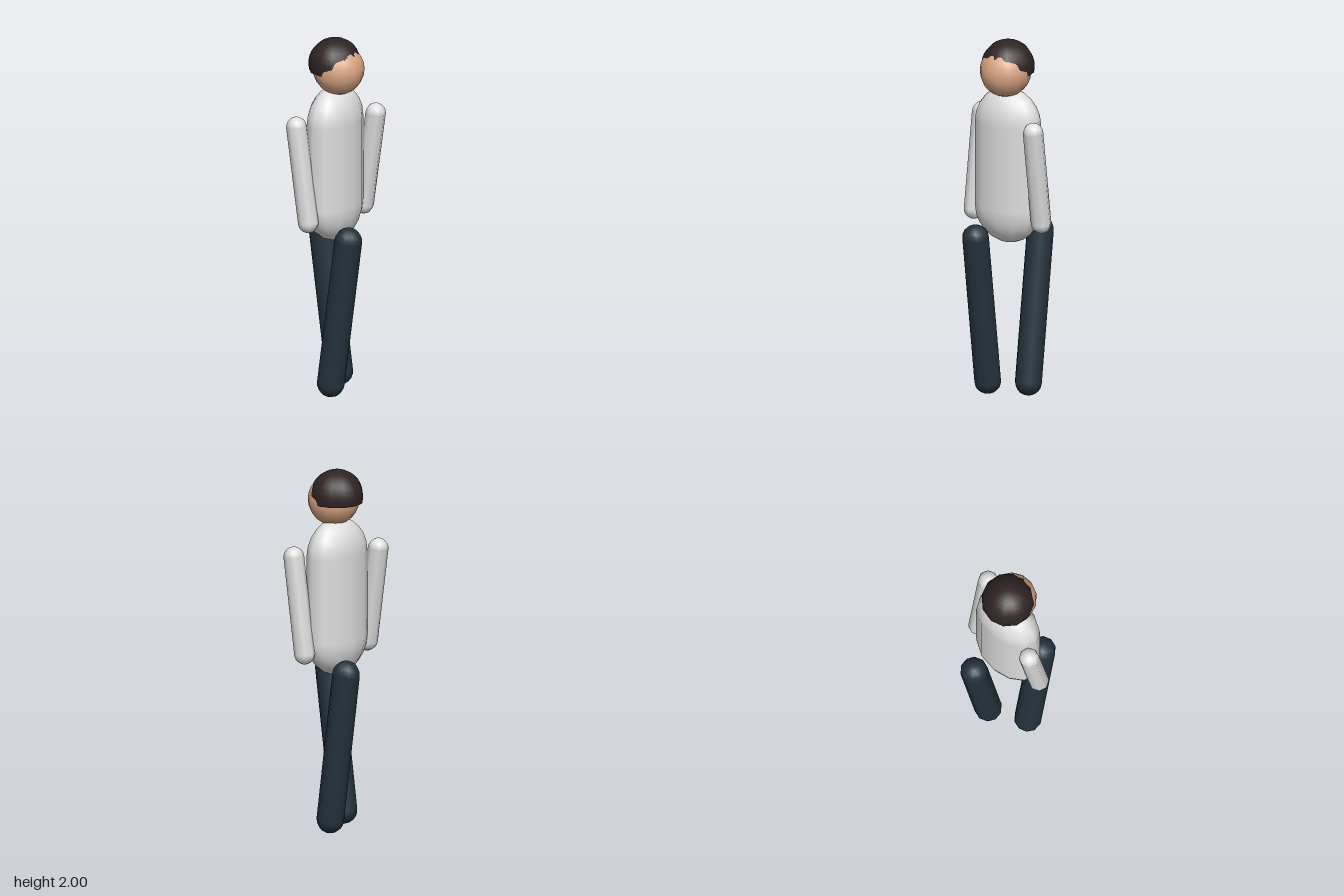
import * as THREE from 'three';

const mat = (name, color, side = THREE.FrontSide) => {
  const m = new THREE.MeshStandardMaterial({ color, side });
  m.name = name;
  return m;
};

export function createModel() {
  const shirt = mat('shirt grey', 0xdedede);
  const trousers = mat('trouser navy', 0x24323c);
  const skin = mat('skin', 0xd9a583);
  const hairBrown = mat('hair brown', 0x2f2324, THREE.DoubleSide);

  const model = new THREE.Group();
  model.name = 'walkingFigure';

  const add = (name, geometry, material, x, y, z) => {
    const mesh = new THREE.Mesh(geometry, material);
    mesh.name = name;
    mesh.position.set(x, y, z);
    model.add(mesh);
    return mesh;
  };

  // Capsule leaning in the xy plane between two cap centres
  const limb = (name, material, radius, sides, z, [x0, y0], [x1, y1]) => {
    const dx = x1 - x0, dy = y1 - y0;
    const geometry = new THREE.CapsuleGeometry(radius, Math.hypot(dx, dy), 5, sides);
    const mesh = add(name, geometry, material, (x0 + x1) / 2, (y0 + y1) / 2, z);
    mesh.rotation.z = -Math.atan2(dx, dy);
  };

  // Torso: capsule flattened from chest to back (the figure walks towards +x)
  add('torso', new THREE.CapsuleGeometry(0.2, 0.47, 6, 12), shirt, 0, 1.297, 0).scale.x = 0.62;

  // Head, with a slightly larger hair cap set up and back
  add('head', new THREE.SphereGeometry(0.14, 14, 12), skin, 0.025, 1.83, 0).rotation.y = Math.PI / 2;
  add('hair', new THREE.SphereGeometry(0.145, 12, 10, 0, Math.PI * 2, 0, Math.PI * 0.58),
    hairBrown, 0, 1.855, 0);

  // Arms and legs swing in opposite directions
  limb('rightArm', shirt, 0.056, 8, 0.227, [-0.011, 1.008], [-0.091, 1.537]);
  limb('leftArm', shirt, 0.056, 8, -0.229, [0.023, 1.008], [0.103, 1.537]);
  for (const s of [1, -1]) {
    limb(s > 0 ? 'rightLeg' : 'leftLeg', trousers, 0.075, 10, s * 0.101,
      [s * 0.047, 0.075], [s * 0.165, 0.905]);
  }

  return model;
}
